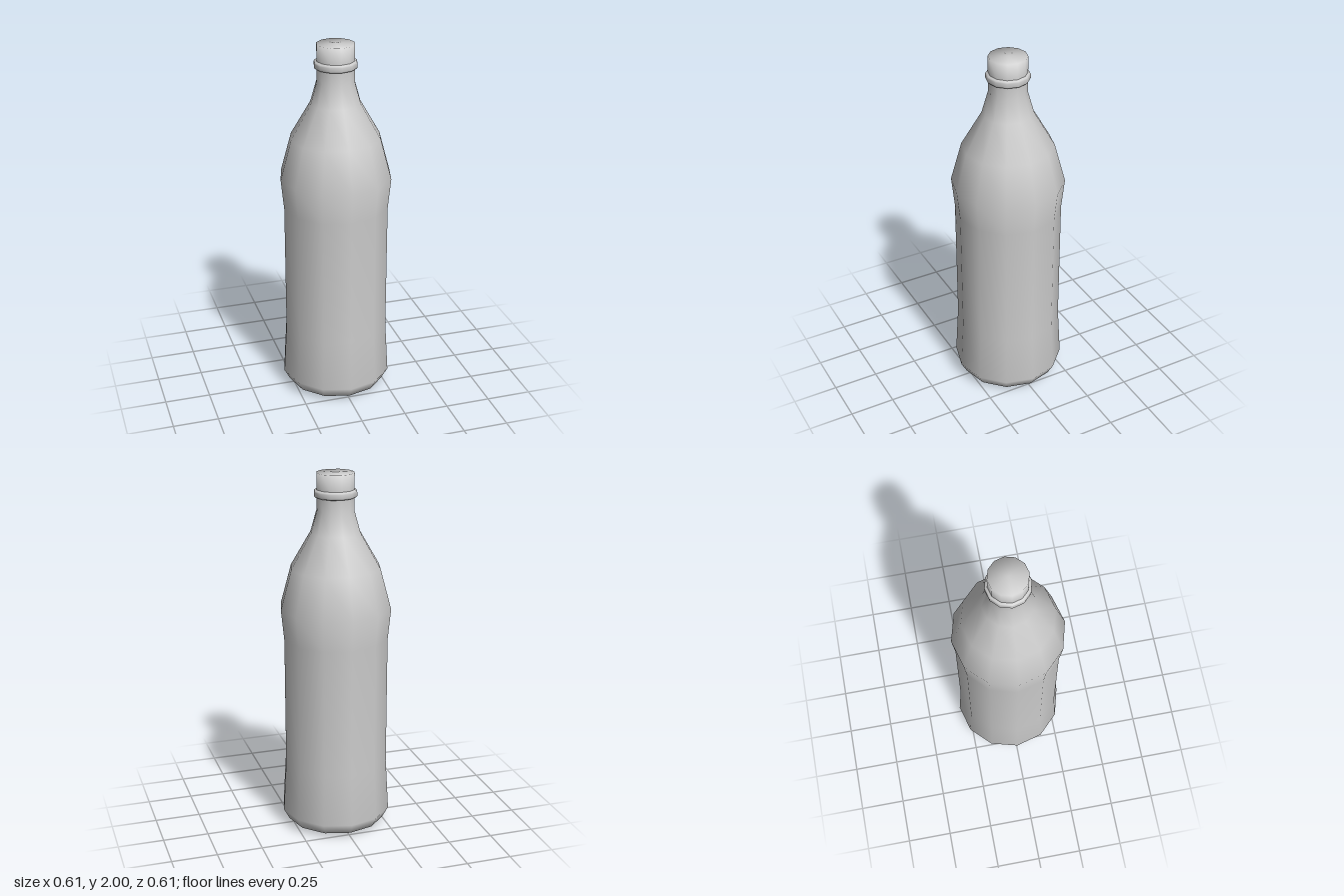
import * as THREE from 'three';

const SIDES = 12;

// Turn a [radius, height] profile, listed bottom to top, into a smooth 12-sided part
function turned(name, profile) {
  const points = profile.map(([r, y]) => new THREE.Vector2(r, y));
  const mesh = new THREE.Mesh(
    new THREE.LatheGeometry(points, SIDES),
    new THREE.MeshStandardMaterial({ color: 0xcccccc, side: THREE.DoubleSide })
  );
  mesh.name = name;
  return mesh;
}

export function createModel() {
  const bottle = new THREE.Group();
  bottle.name = 'bottle';

  // Rounded foot, slightly waisted body, shoulder and neck
  bottle.add(turned('body', [
    [0, 0.005], [0.22, 0.005], [0.275, 0.03], [0.307, 0.09],
    [0.29, 0.38], [0.29, 1.1], [0.307, 1.27],
    [0.247, 1.49], [0.137, 1.68], [0.103, 1.8], [0.103, 1.88],
  ]));

  // Ring below the cap
  bottle.add(turned('neckRing', [
    [0.1, 1.868], [0.113, 1.873], [0.117, 1.88],
    [0.117, 1.9], [0.113, 1.907], [0.1, 1.914],
  ]));

  // Closed cap
  bottle.add(turned('cap', [[0.103, 1.9], [0.103, 2], [0, 2]]));

  return bottle;
}
